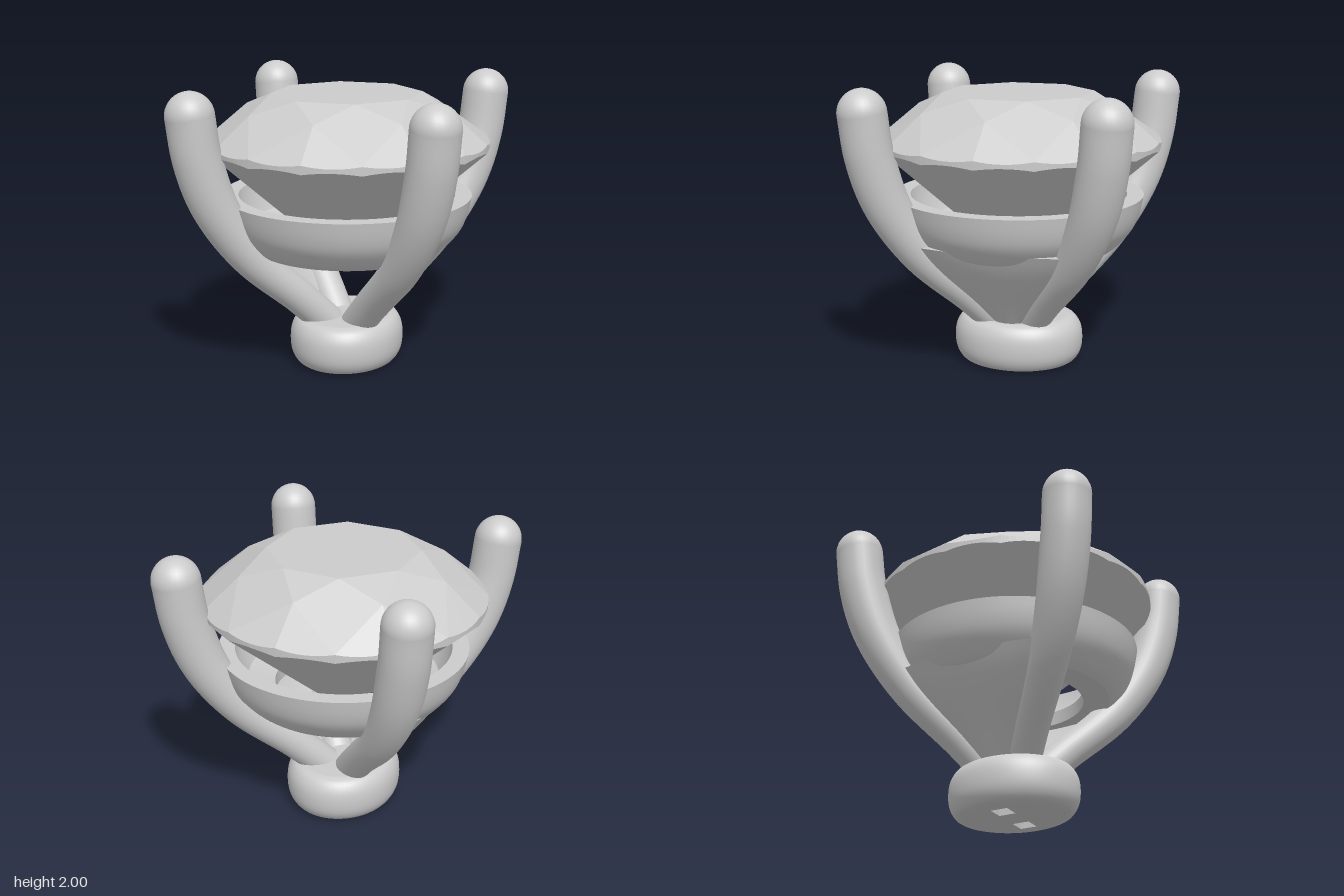
import * as THREE from 'three';
import { toCreasedNormals } from 'three/addons/utils/BufferGeometryUtils.js';

const grey = new THREE.MeshStandardMaterial({ color: 0xcccccc });
const hollow = new THREE.MeshStandardMaterial({ color: 0xcccccc, side: THREE.BackSide });

function add(parent, name, geometry, material = grey) {
  const mesh = new THREE.Mesh(geometry, material);
  mesh.name = name;
  parent.add(mesh);
  return mesh;
}

// Round brilliant cut: table, stars, kites, scalloped girdle, pavilion
function gemGeometry() {
  const out = [];
  const tri = (...pts) => pts.forEach((p) => out.push(p.x, p.y, p.z));
  const at = (r, a, y) => new THREE.Vector3(r * Math.sin(a), y, r * Math.cos(a));
  const R = 0.975, step = Math.PI / 8, arc = 8;
  const table = (a) => at(0.52, a, 1.91);
  const star = (a) => at(0.73, a, 1.805);
  const upper = (a) => at(R, a, 1.6);
  const lower = (a) => at(R, a, 1.54);
  const pav = (a) => at(0.24, a, 0.70 + 0.84 * 0.24 * Math.cos(step) / R);
  const centre = at(0, 0, 1.91), culet = at(0, 0, 0.70);
  // point where a facet plane meets the girdle cylinder
  const onPlane = (plane, a) => {
    const p = at(R, a, 0), n = plane.normal;
    p.y = -(n.x * p.x + n.z * p.z + plane.constant) / n.y;
    return p;
  };
  for (let k = 0; k < 8; k++) {
    const a = k * 2 * step, b = a + step, c = b + step;
    tri(centre, table(a - step), table(b));
    tri(table(a - step), star(a), table(b));
    tri(table(b), star(a), upper(b));
    tri(table(b), upper(b), star(c));
    tri(culet, pav(c), lower(b));
    tri(culet, lower(b), pav(a));
    for (const s of [a - step, a]) {
      const top = new THREE.Plane().setFromCoplanarPoints(star(a), upper(s), upper(s + step));
      const bottom = new THREE.Plane().setFromCoplanarPoints(pav(a), lower(s + step), lower(s));
      for (let i = 0; i < arc; i++) {
        const a0 = s + step * i / arc, a1 = s + step * (i + 1) / arc;
        const u0 = onPlane(top, a0), u1 = onPlane(top, a1);
        const l0 = onPlane(bottom, a0), l1 = onPlane(bottom, a1);
        tri(star(a), u0, u1);
        tri(pav(a), l1, l0);
        tri(l0, l1, u1);
        tri(l0, u1, u0);
      }
    }
  }
  const g = new THREE.BufferGeometry();
  g.setAttribute('position', new THREE.Float32BufferAttribute(out, 3));
  g.computeVertexNormals();
  return g;
}

// Centre line of one prong, leaning out along a diagonal
const prongPath = new THREE.CatmullRomCurve3(
  [[0.10, 0.28], [0.15, 0.35], [0.26, 0.5], [0.52, 0.84], [0.69, 1.2], [0.775, 1.55], [0.805, 1.837]]
    .map(([p, y]) => new THREE.Vector3(p, y, p)));

// Tube that widens towards the tip
function prongGeometry() {
  const rows = 56, sides = 28;
  const g = new THREE.TubeGeometry(prongPath, rows, 1, sides);
  const pos = g.attributes.position, v = new THREE.Vector3();
  for (let i = 0; i <= rows; i++) {
    const c = prongPath.getPointAt(i / rows);
    const r = THREE.MathUtils.lerp(0.118, 0.163, THREE.MathUtils.smoothstep(c.y, 0.45, 1.5));
    for (let j = 0; j <= sides; j++) {
      const n = i * (sides + 1) + j;
      v.fromBufferAttribute(pos, n).sub(c).multiplyScalar(r).add(c);
      pos.setXYZ(n, v.x, v.y, v.z);
    }
  }
  return g;
}

// Bowed wall filling the gap between two prongs
function panelGeometry() {
  const g = new THREE.BoxGeometry(1, 1, 2, 1, 24, 20);
  const pos = g.attributes.position;
  for (let i = 0; i < pos.count; i++) {
    const s = pos.getZ(i), outer = pos.getX(i) > 0;
    const c = prongPath.getPoint((pos.getY(i) + 0.5) * 0.545);
    pos.setXYZ(i, c.x + 0.15 - 0.08 * s * s - (outer ? 0 : 0.12), c.y, s * c.x);
  }
  g.computeVertexNormals();
  return g;
}

export function createModel() {
  const model = new THREE.Group();
  add(model, 'gem', gemGeometry());

  // Seat ring under the gem
  const outside = new THREE.SplineCurve([[0.66, 0.84], [0.72, 0.89], [0.80, 0.99], [0.84, 1.09], [0.865, 1.21]]
    .map((p) => new THREE.Vector2(...p))).getPoints(16);
  const inside = [[0.75, 1.21], [0.72, 1.1], [0.66, 1.0], [0.48, 0.94], [0.48, 0.84]]
    .map((p) => new THREE.Vector2(...p));
  const ring = [new THREE.Vector2(0.48, 0.84), ...outside, ...inside];
  add(model, 'seatRing', toCreasedNormals(new THREE.LatheGeometry(ring, 96), 0.6));

  // Four prongs with ball tips
  const prong = prongGeometry();
  const tip = new THREE.SphereGeometry(0.163, 28, 20);
  for (let i = 0; i < 4; i++) {
    const group = new THREE.Group();
    group.name = 'prong' + (i + 1);
    group.rotation.y = i * Math.PI / 2;
    add(group, 'prongShaft', prong);
    add(group, 'prongTip', tip).position.copy(prongPath.getPoint(1));
    model.add(group);
  }

  // Side panels on +x and -x
  const panel = panelGeometry();
  add(model, 'leftPanel', panel);
  add(model, 'rightPanel', panel).rotation.y = Math.PI;

  // Oval rounded base with two square sockets underneath
  const base = new THREE.Group();
  base.name = 'base';
  const side = new THREE.SplineCurve([[0.30, 0], [0.35, 0.022], [0.385, 0.085], [0.395, 0.17],
    [0.385, 0.255], [0.35, 0.318], [0.30, 0.34]].map((p) => new THREE.Vector2(...p))).getPoints(24);
  const wall = new THREE.LatheGeometry([...side, new THREE.Vector2(0, 0.34)], 72);
  wall.scale(1, 1, 0.457 / 0.395);
  add(base, 'baseBody', wall);

  const floor = new THREE.Shape().absellipse(0.0, 0.0, 0.30, 0.347, 0, Math.PI * 2);
  const h = 0.06;
  for (const x of [-0.155, 0.155]) {
    floor.holes.push(new THREE.Path([[-h, -h], [-h, h], [h, h], [h, -h]]
      .map(([dx, dz]) => new THREE.Vector2(x + dx, dz))));
    add(base, 'socket', new THREE.BoxGeometry(2 * h, 0.1, 2 * h), hollow).position.set(x, 0.05, 0);
  }
  add(base, 'baseFloor', new THREE.ShapeGeometry(floor, 36).rotateX(Math.PI / 2));
  model.add(base);
  return model;
}
